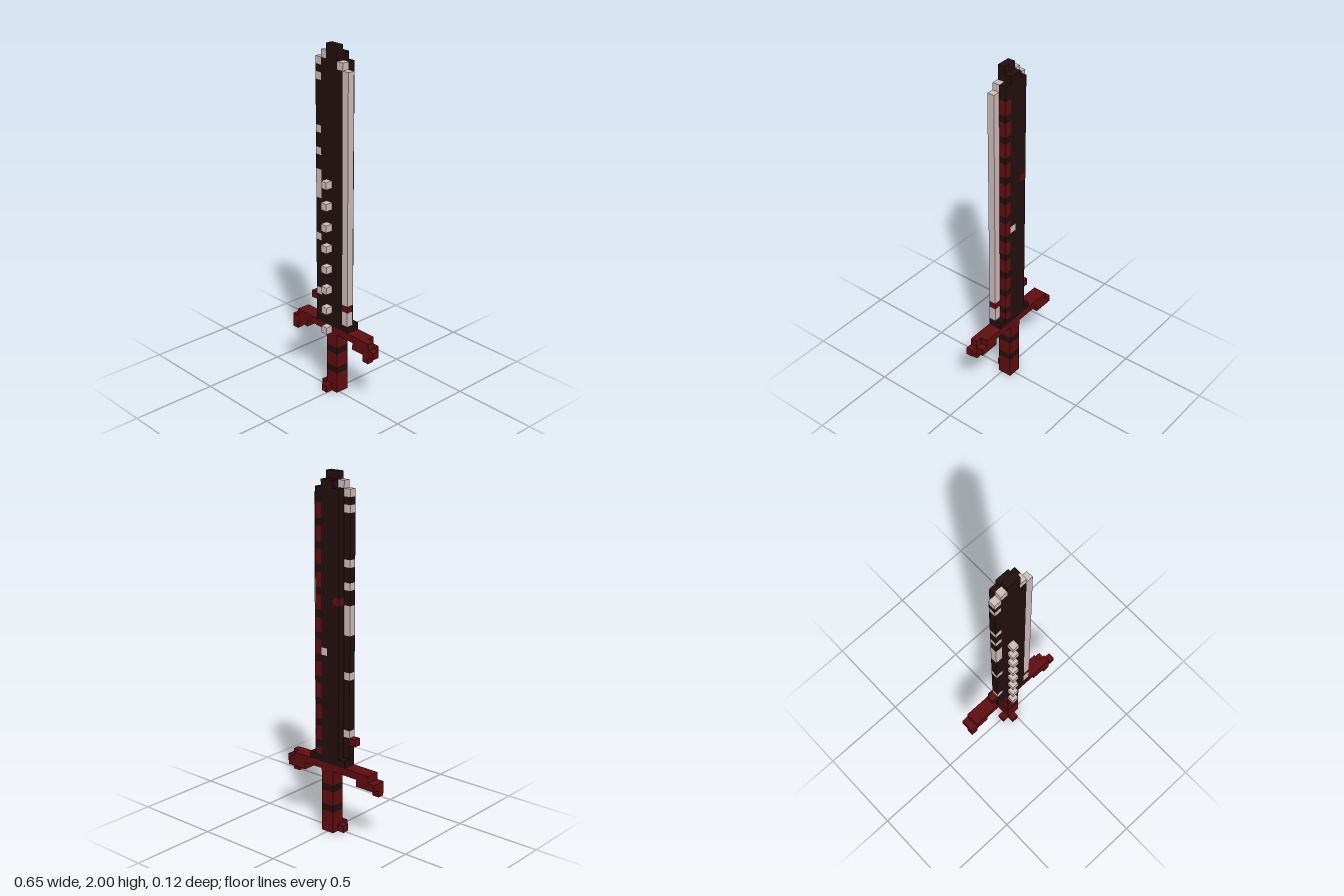
import * as THREE from 'three';

const U = 2 / 49; // edge of one block

export function createModel() {
  const sword = new THREE.Group();
  sword.name = 'sword';
  const mat = (name, color) => {
    const m = new THREE.MeshStandardMaterial({ color });
    m.name = name;
    return m;
  };
  const dark = mat('dark iron', 0x220e0e);
  const red = mat('blood red', 0x5e0d0f);
  const bone = mat('pale bone', 0xcbbaba);

  const part = (name) => {
    const g = new THREE.Group();
    g.name = name;
    sword.add(g);
    return g;
  };
  // Box over inclusive block ranges: columns, rows, layers (0 back, 1 middle, 2 front)
  const block = (group, name, material, [c0, c1], [r0, r1], [l0, l1]) => {
    const w = c1 - c0 + 1, h = r1 - r0 + 1, d = l1 - l0 + 1;
    const mesh = new THREE.Mesh(new THREE.BoxGeometry(w * U, h * U, d * U), material);
    mesh.position.set((c0 + w / 2) * U, (r0 + h / 2) * U, (l0 + d / 2 - 1.5) * U);
    mesh.name = name;
    group.add(mesh);
  };
  // Column in one layer, with some rows in another material
  const column = (group, name, col, [r0, r1], layer, materialAt) => {
    let start = r0;
    for (let r = r0; r <= r1; r++) {
      if (r === r1 || materialAt(r + 1) !== materialAt(r)) {
        block(group, name, materialAt(r), [col, col], [start, r], [layer, layer]);
        start = r + 1;
      }
    }
  };

  // Handle with two dark bands, and pommel studs
  const handle = part('handle');
  for (const r of [[0, 2], [4, 5], [7, 8]]) block(handle, 'grip', red, [-1, 0], r, [0, 1]);
  for (const r of [3, 6]) block(handle, 'gripBand', dark, [-1, 0], [r, r], [0, 1]);
  block(handle, 'pommelSide', red, [-2, -2], [0, 0], [1, 1]);
  block(handle, 'pommelFront', red, [-1, -1], [0, 0], [2, 2]);

  // Crossguard with drooping tips
  const guard = part('guard');
  block(guard, 'guardBarBack', red, [-7, 5], [9, 9], [0, 0]);
  block(guard, 'guardBarFront', red, [-7, 6], [9, 9], [1, 1]);
  block(guard, 'rightArm', red, [-8, -6], [8, 8], [0, 1]);
  block(guard, 'rightTip', red, [-8, -8], [7, 7], [1, 1]);
  block(guard, 'leftArmBack', red, [4, 6], [8, 8], [0, 0]);
  block(guard, 'leftArmFront', red, [4, 7], [8, 8], [1, 1]);
  block(guard, 'leftTip', red, [6, 6], [7, 7], [1, 1]);

  // Blade core
  const blade = part('blade');
  block(blade, 'bladeCollar', dark, [-3, 2], [10, 10], [0, 1]);
  block(blade, 'bladeCentre', dark, [-1, 0], [11, 48], [1, 1]);
  block(blade, 'bladeRight', dark, [-2, -2], [11, 46], [1, 1]);
  block(blade, 'bladeLeft', dark, [1, 1], [11, 45], [1, 1]);
  block(blade, 'tipRight', bone, [-2, -2], [47, 47], [1, 1]);
  block(blade, 'tipLeft', bone, [1, 1], [46, 46], [1, 1]);

  // Back layer: plain columns with single odd blocks, striped left column
  column(blade, 'backRight', -2, [11, 46], 0, (r) => (r === 32 ? red : dark));
  block(blade, 'backCentre', dark, [-1, -1], [11, 47], [0, 0]);
  column(blade, 'backCentre', 0, [11, 47], 0, (r) => (r === 25 ? bone : dark));
  column(blade, 'backStripes', 1, [11, 46], 0, (r) => (r % 3 === 0 || r > 44 ? dark : red));

  // Cutting edges
  const teeth = new Set([14, 22, 28, 29, 30, 31, 34, 37, 44, 46]);
  column(blade, 'toothedEdge', -3, [11, 46], 1, (r) => (teeth.has(r) ? bone : dark));
  column(blade, 'boneEdge', 2, [11, 45], 1, (r) => (r === 13 ? red : bone));
  block(blade, 'sideBarb', red, [-4, -4], [13, 13], [1, 1]);

  // Row of spikes down the front
  const spikes = part('spikes');
  for (let r = 9; r <= 30; r += 3) block(spikes, 'spike', bone, [-1, -1], [r, r], [2, 2]);

  return sword;
}
